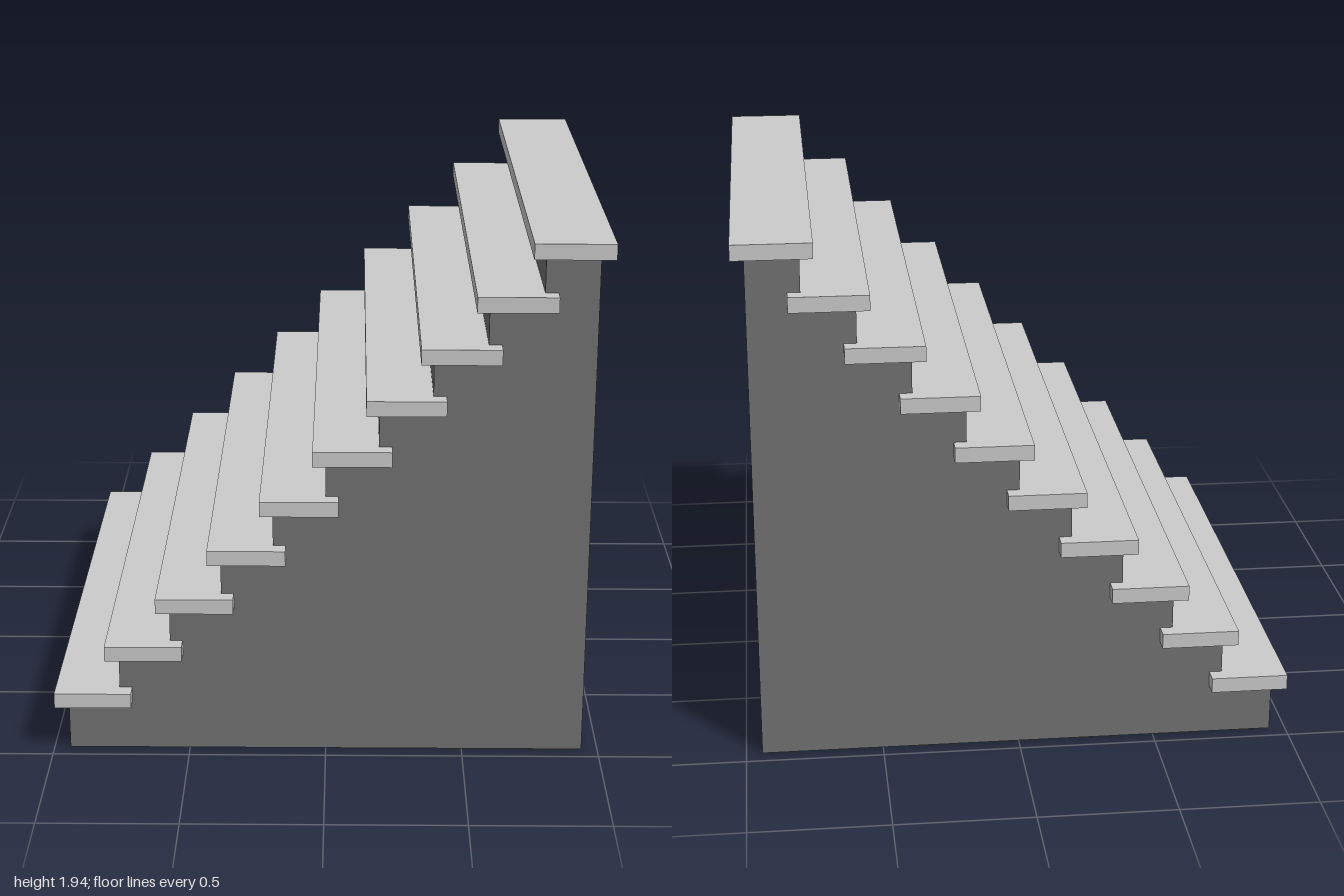
import * as THREE from 'three';

const STEPS = 10;
const STEP = 0.1883; // rise and run of each step
const BODY_DEPTH = STEP * STEPS;
const TREAD = { width: 0.28, height: 0.056, depth: 2 };

export function createModel() {
  const group = new THREE.Group();
  group.name = 'staircase';
  const bodyMaterial = new THREE.MeshStandardMaterial({ color: 0x727272, flatShading: true });
  const treadMaterial = new THREE.MeshStandardMaterial({ color: 0xcccccc, flatShading: true });
  const startX = -STEP * STEPS / 2;

  // Solid stepped body, rising towards +x
  const profile = new THREE.Shape();
  profile.moveTo(startX, 0);
  profile.lineTo(-startX, 0);
  for (let i = STEPS; i > 0; i--) {
    profile.lineTo(startX + i * STEP, i * STEP);
    profile.lineTo(startX + (i - 1) * STEP, i * STEP);
  }
  profile.closePath();
  const bodyGeometry = new THREE.ExtrudeGeometry(profile, { depth: BODY_DEPTH, bevelEnabled: false });
  bodyGeometry.translate(0, 0, -BODY_DEPTH / 2);
  const body = new THREE.Mesh(bodyGeometry, bodyMaterial);
  body.name = 'stairBody';
  group.add(body);

  // Overhanging tread slabs, one on each step
  const treadGeometry = new THREE.BoxGeometry(TREAD.width, TREAD.height, TREAD.depth);
  for (let i = 0; i < STEPS; i++) {
    const tread = new THREE.Mesh(treadGeometry, treadMaterial);
    tread.name = `tread${i + 1}`;
    tread.position.set(startX + (i + 0.5) * STEP, (i + 1) * STEP + TREAD.height / 2, 0);
    group.add(tread);
  }
  return group;
}
